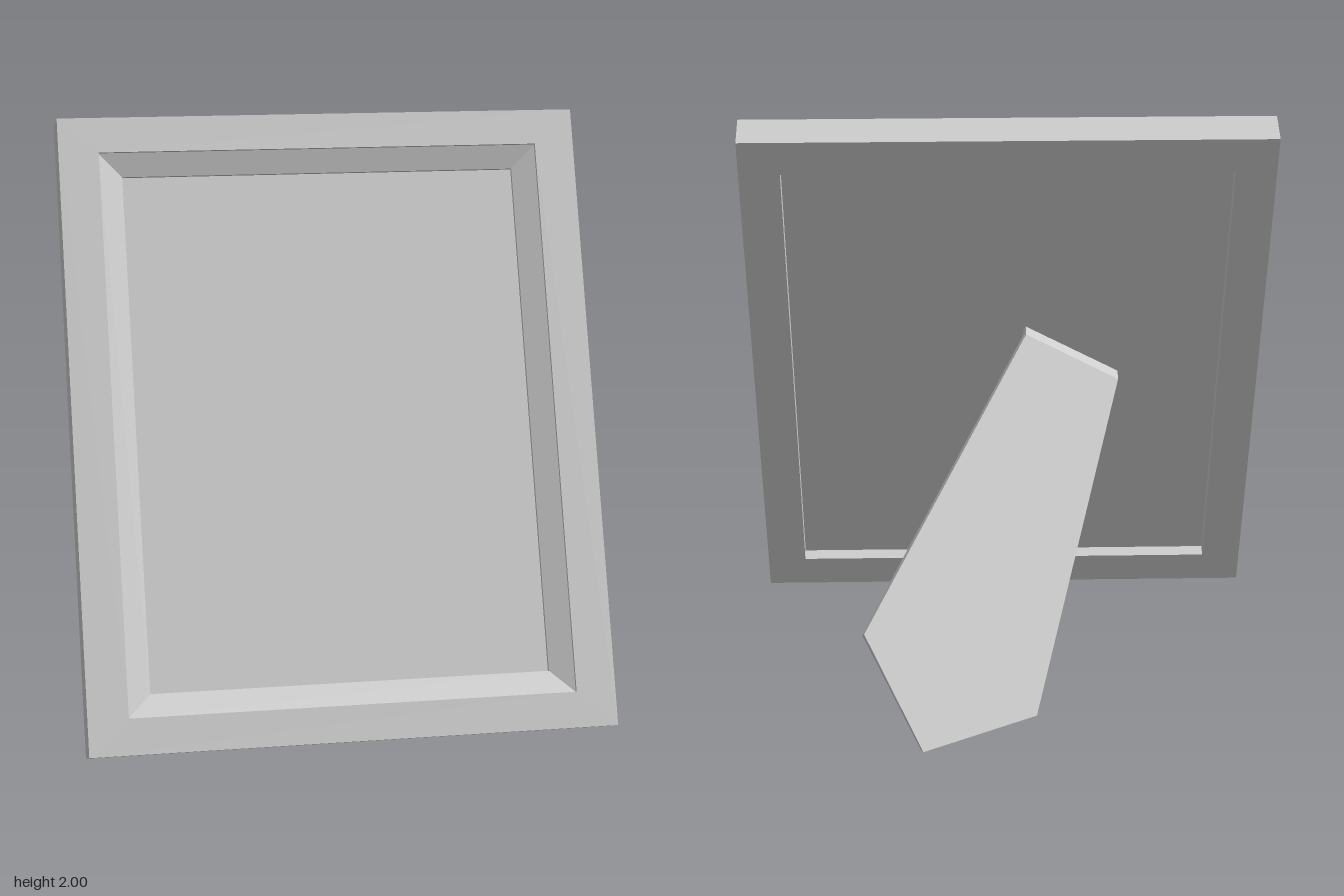
import * as THREE from 'three';

const material = new THREE.MeshStandardMaterial({ color: 0xcccccc, flatShading: true });

// Flat-sided skin through matching cross-sections, optionally capped at both ends
function loft(rings, capped) {
  const pos = [];
  const tri = (...pts) => pts.forEach((p) => pos.push(p.x, p.y, p.z));
  const n = rings[0].length;
  for (let r = 0; r < rings.length - 1; r++) {
    const a = rings[r], b = rings[r + 1];
    for (let i = 0; i < n; i++) {
      const j = (i + 1) % n;
      tri(a[i], a[j], b[j]);
      tri(a[i], b[j], b[i]);
    }
  }
  if (capped) {
    const first = rings[0], last = rings[rings.length - 1];
    for (let i = 1; i < n - 1; i++) {
      tri(first[0], first[i + 1], first[i]);
      tri(last[0], last[i], last[i + 1]);
    }
  }
  const geometry = new THREE.BufferGeometry();
  geometry.setAttribute('position', new THREE.Float32BufferAttribute(pos, 3));
  geometry.computeVertexNormals();
  return geometry;
}

function part(name, geometry) {
  const mesh = new THREE.Mesh(geometry, material);
  mesh.name = name;
  return mesh;
}

const v = (x, y, z) => new THREE.Vector3(x, y, z);

export function createModel() {
  const group = new THREE.Group();
  const tilt = THREE.MathUtils.degToRad(20);
  const W = 0.872, H = 1.0415, T = 0.122; // half width, half height, thickness

  // Leaning picture: local y runs up the frame, local z out of its face
  const picture = new THREE.Group();
  picture.name = 'picture';
  picture.position.z = 0.553;
  picture.rotation.x = -tilt;
  group.add(picture);

  // Moulding: rectangles given as border x, border y, depth
  const profile = [
    [0.135, 0.13, 0.044], // back rebate
    [0.135, 0.13, 0],
    [0, 0, 0], // outer edge
    [0, 0, T],
    [0.1325, 0.117, T], // face, small step, bevel, small step
    [0.1325, 0.117, T - 0.012],
    [0.21, 0.192, T - 0.042],
    [0.21, 0.192, T - 0.056],
  ];
  const rings = profile.map(([bx, by, z]) => {
    const x = W - bx, y = H - by;
    return [v(-x, H - y, z), v(x, H - y, z), v(x, H + y, z), v(-x, H + y, z)];
  });
  picture.add(part('frame', loft(rings, false)));

  // Panel held inside the moulding
  const panel = part('panel', new THREE.BoxGeometry(2 * (W - 0.135), 2 * (H - 0.13), 0.024));
  panel.position.set(0, H, 0.055);
  picture.add(panel);

  // Slanted support leg: a thin five-sided board
  const back = [
    v(-0.09, 0, -0.435),
    v(0.295, 0, -0.662),
    v(0.485, 0.4, -0.577),
    v(-0.067, 1.17, 0.13),
    v(-0.39, 0.97, 0.2),
  ];
  const thickness = v(0.465, -0.39, 0.795).multiplyScalar(0.018);
  const front = back.map((p) => p.clone().add(thickness));
  front.forEach((p) => { p.y = Math.max(p.y, 0); });
  group.add(part('supportLeg', loft([back, front], true)));

  // Hinge tab joining the top of the leg to the panel
  const tab = [front[4], front[3], back[3], back[4]];
  const inward = v(0, Math.sin(tilt), Math.cos(tilt)).multiplyScalar(0.047);
  group.add(part('hingeTab', loft([tab, tab.map((p) => p.clone().add(inward))], true)));

  return group;
}
